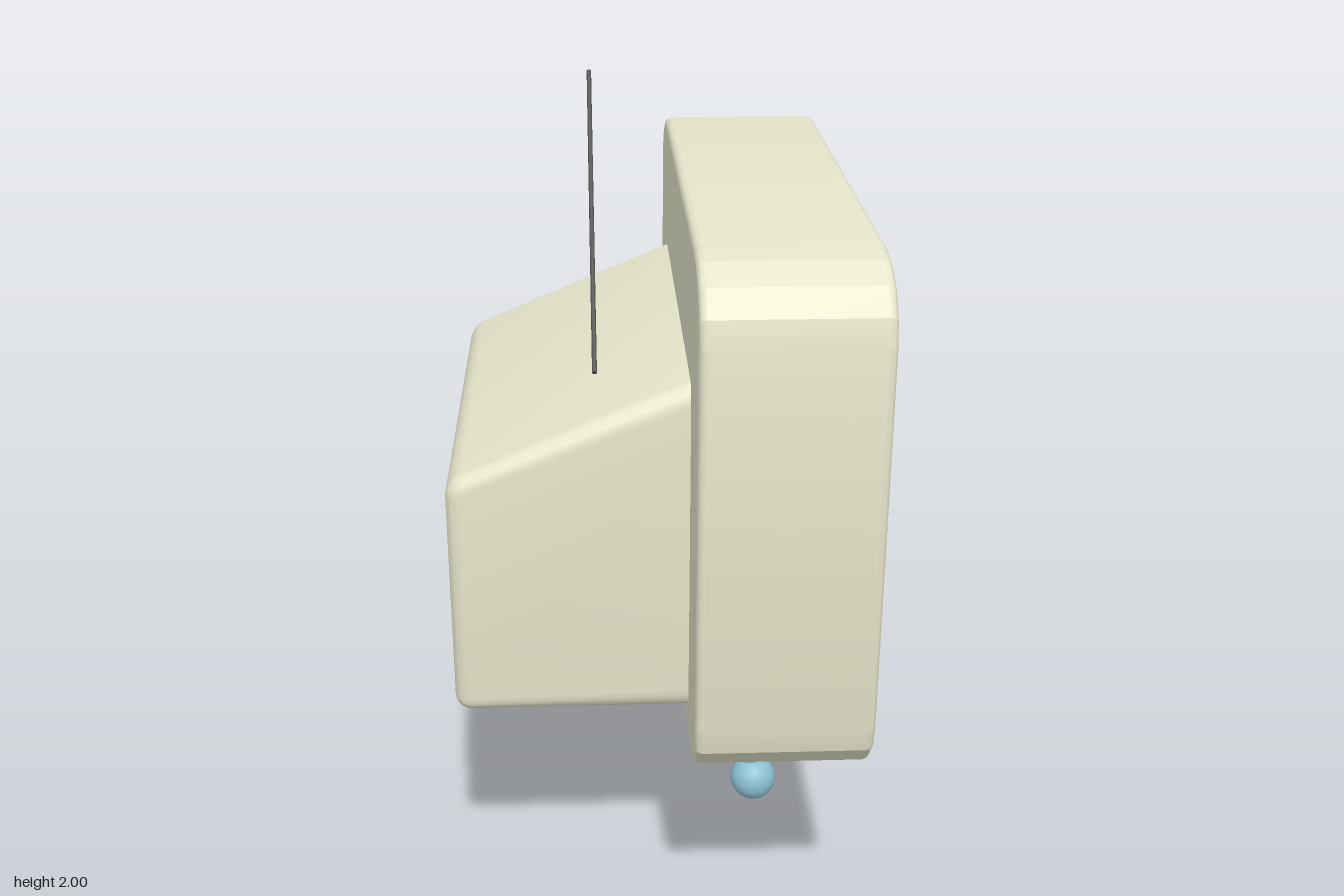
import * as THREE from 'three';
import { mergeVertices, toCreasedNormals } from 'three/addons/utils/BufferGeometryUtils.js';
import { RoundedBoxGeometry } from 'three/addons/geometries/RoundedBoxGeometry.js';

const cream = new THREE.MeshStandardMaterial({ color: 0xe6e6cb });
const blue = new THREE.MeshStandardMaterial({ color: 0x8cc0d2 });
const dark = new THREE.MeshStandardMaterial({ color: 0x555555 });

function add(parent, name, geometry, material, x = 0, y = 0, z = 0) {
  const mesh = new THREE.Mesh(geometry, material);
  mesh.name = name;
  mesh.position.set(x, y, z);
  parent.add(mesh);
  return mesh;
}

// Rectangle with faceted elliptical corners
function roundedOutline(halfW, halfH, rx, ry, steps) {
  const points = [];
  for (let corner = 0; corner < 4; corner++) {
    const sx = corner === 0 || corner === 3 ? 1 : -1;
    const sy = corner < 2 ? 1 : -1;
    for (let i = 0; i <= steps; i++) {
      const a = (corner + i / steps) * Math.PI / 2;
      points.push(new THREE.Vector2(
        sx * (halfW - rx) + rx * Math.cos(a),
        sy * (halfH - ry) + ry * Math.sin(a)));
    }
  }
  return new THREE.Shape(points);
}

// Thick front housing, facing +x
function housingGeometry() {
  const bevel = 0.02, depth = 0.415;
  const geo = new THREE.ExtrudeGeometry(
    roundedOutline(0.838 - bevel, 0.627 - bevel, 0.19, 0.15, 4),
    { depth: depth - 2 * bevel, bevelEnabled: true, bevelSize: bevel, bevelThickness: bevel, bevelSegments: 6 });
  geo.translate(0, 0, bevel - depth / 2);
  geo.rotateY(Math.PI / 2);
  return toCreasedNormals(geo, 0.3);
}

// Rounded box whose top rises towards the housing
function rearGeometry() {
  const length = 0.66, height = 0.605;
  let geo = new RoundedBoxGeometry(length, height, 1.166, 4, 0.04);
  const p = geo.attributes.position;
  for (let i = 0; i < p.count; i++) {
    const up = (p.getY(i) + height / 2) / height;
    p.setY(i, up * (height + 0.42 * (p.getX(i) + length / 2)));
  }
  geo.deleteAttribute('normal');
  geo.deleteAttribute('uv');
  geo = mergeVertices(geo, 1e-4);
  geo.computeVertexNormals();
  return toCreasedNormals(geo, 0.6);
}

export function createModel() {
  const model = new THREE.Group();
  model.name = 'television';

  add(model, 'screenHousing', housingGeometry(), cream, 0.262, 1.202, 0);
  add(model, 'rearHousing', rearGeometry(), cream, -0.18, 0.65, 0);

  // Two thin upright slots on the back
  for (const z of [-0.36, -0.26]) {
    add(model, 'rearSlot', new THREE.BoxGeometry(0.02, 0.51, 0.025), cream, -0.503, 0.935, z);
  }

  // Slanted antenna
  const base = new THREE.Vector3(-0.16, 1.41, 0.27);
  const tip = new THREE.Vector3(-0.16, 1.997, -0.45);
  const along = tip.clone().sub(base);
  const antenna = add(model, 'antenna', new THREE.CylinderGeometry(0.006, 0.006, along.length(), 12), dark);
  antenna.position.copy(base).lerp(tip, 0.5);
  antenna.quaternion.setFromUnitVectors(new THREE.Vector3(0, 1, 0), along.normalize());

  // Leaning stem with rings and a ball at its foot
  const stand = new THREE.Group();
  stand.name = 'stand';
  stand.position.set(0.28, 0.064, 0);
  stand.rotation.z = 0.087;
  model.add(stand);
  add(stand, 'ball', new THREE.SphereGeometry(0.064, 32, 20), blue);
  add(stand, 'stem', new THREE.CylinderGeometry(0.025, 0.025, 0.58, 24), blue, 0, 0.29, 0);
  for (const [y, radius, tube] of [[0.423, 0.223, 0.037], [0.298, 0.131, 0.025], [0.17, 0.077, 0.017]]) {
    const ring = new THREE.TorusGeometry(radius, tube, 16, 48);
    ring.rotateX(Math.PI / 2);
    ring.scale(1, 0.018 / 0.032, 1);
    add(stand, 'ring', ring, blue, 0, y, 0);
  }

  return model;
}
